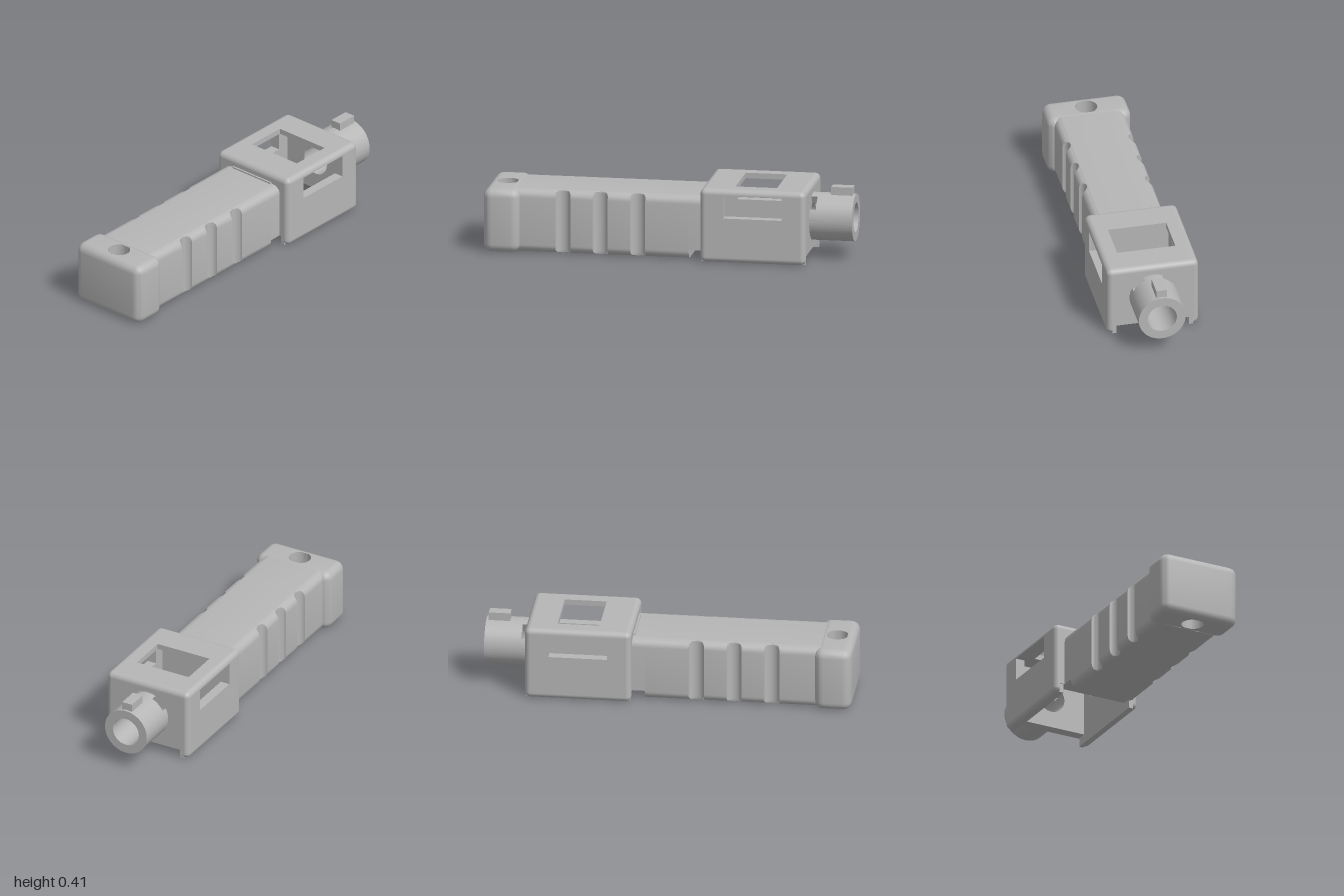
import * as THREE from 'three';
import { toCreasedNormals } from 'three/addons/utils/BufferGeometryUtils.js';
import { RoundedBoxGeometry } from 'three/addons/geometries/RoundedBoxGeometry.js';

const grey = new THREE.MeshStandardMaterial({ color: 0xb6b6b6, side: THREE.DoubleSide });
grey.name = 'plain grey';

// Outline of a rounded rectangle centred on the origin
function roundedRect(hw, hh, r, n = 7) {
  const pts = [];
  [[1, 1], [-1, 1], [-1, -1], [1, -1]].forEach(([sx, sy], q) => {
    for (let i = 0; i <= n; i++) {
      const a = (q + i / n) * Math.PI / 2;
      pts.push([sx * (hw - r) + r * Math.cos(a), sy * (hh - r) + r * Math.sin(a)]);
    }
  });
  return pts;
}

// Skin joining rings of equal point count
function loft(rings, closed = false) {
  const n = rings[0].length, m = rings.length, index = [];
  for (let i = 0; i < (closed ? m : m - 1); i++) {
    for (let j = 0; j < n; j++) {
      const k = (j + 1) % n, t = (i + 1) % m;
      const a = i * n + j, b = i * n + k, c = t * n + k, d = t * n + j;
      index.push(a, b, c, a, c, d);
    }
  }
  const g = new THREE.BufferGeometry();
  g.setAttribute('position', new THREE.Float32BufferAttribute(rings.flat(2), 3));
  g.setIndex(index);
  return toCreasedNormals(g, 0.6);
}

function rectPath(path, x0, y0, x1, y1) {
  path.moveTo(x0, y0).lineTo(x1, y0).lineTo(x1, y1).lineTo(x0, y1).closePath();
  return path;
}

// Flat panel with optional holes
function panel(x0, y0, x1, y1, depth, ...holes) {
  const s = rectPath(new THREE.Shape(), x0, y0, x1, y1);
  s.holes.push(...holes);
  return new THREE.ExtrudeGeometry(s, { depth, bevelEnabled: false, curveSegments: 32 });
}

// Sector of a ring in the XY plane, extruded along z
function ringSector(a0, a1, ro, ri, depth) {
  const s = new THREE.Shape();
  s.absarc(0, 0, ro, a0, a1, false);
  s.absarc(0, 0, ri, a1, a0, true);
  s.closePath();
  return toCreasedNormals(
    new THREE.ExtrudeGeometry(s, { depth, bevelEnabled: false, curveSegments: 48 }), 0.6);
}

export function createModel() {
  const model = new THREE.Group();
  model.name = 'handheldHolder';
  const add = (name, geo, x = 0, y = 0, z = 0, parent = model) => {
    const mesh = new THREE.Mesh(geo, grey);
    mesh.name = name;
    mesh.position.set(x, y, z);
    parent.add(mesh);
    return mesh;
  };

  // Handle: rounded bar with three vertical finger grooves and a slot notch at the head
  const gripH = 0.348, grooves = [0.158, 0.363, 0.567], half = 0.041;
  const stations = [[-0.2, 0, 0.05], [-0.12, 0, 0.05], [-0.12, 0, 0]];
  for (const c of grooves) {
    for (let i = 0; i <= 12; i++) {
      const t = -Math.cos(i / 12 * Math.PI);
      stations.push([c + half * t, 0.034 * Math.sqrt(Math.max(0, 1 - t * t)), 0]);
    }
  }
  stations.push([0.83, 0, 0]);
  const section = roundedRect(0.195, gripH / 2, 0.045);
  add('handle', loft(stations.map(([z, cut, floor]) => section.map(([x, y]) => [
    Math.sign(x) * Math.min(Math.abs(x), 0.195 - cut),
    Math.max(y + gripH / 2, floor), z]))));

  // End block with a vertical cord hole
  const levels = [], r = 0.045;
  for (let i = 0; i <= 6; i++) {
    const a = i / 6 * Math.PI / 2;
    levels.push([r * (1 - Math.cos(a)), r * (1 - Math.sin(a))]);
  }
  levels.push(...levels.map(([y, inset]) => [gripH - y, inset]).reverse());
  const holeRing = y => roundedRect(0.185, 0.055, 0.01).map((p, i, all) => {
    const a = (i + 0.5) / all.length * Math.PI * 2;
    return [0.06 * Math.cos(a), y, 0.06 * Math.sin(a)];
  });
  const blockRings = levels.map(([y, d]) =>
    roundedRect(0.23 - d, 0.1 - d, 0.05 - d).map(([x, z]) => [x, y, z]));
  add('endBlock', loft([holeRing(0), ...blockRings, holeRing(gripH)], true), 0, 0, 0.9);

  // Head: hollow rounded box, open below
  const head = new THREE.Group();
  head.name = 'head';
  model.add(head);
  const hx = 0.253, H = 0.405, zF = -0.19, zB = -0.766, e = 0.03, wall = 0.053;
  const zMid = (zF + zB) / 2, hz = (zF - zB) / 2, hy = H / 2;

  // Rounded edges only: flat faces and the edges across the open floor are dropped
  const box = new RoundedBoxGeometry(2 * hx, H, 2 * hz, 5, e);
  const pos = box.attributes.position, nor = box.attributes.normal, keepP = [], keepN = [];
  const eps = 1e-4;
  for (let i = 0; i < pos.count; i += 3) {
    const v = [0, 1, 2].map(k => new THREE.Vector3().fromBufferAttribute(pos, i + k));
    const flat = v.every(p => Math.abs(p.x) > hx - eps) || v.every(p => Math.abs(p.y) > hy - eps)
      || v.every(p => Math.abs(p.z) > hz - eps);
    const floor = v.every(p => p.y < -hy + e + eps && Math.abs(p.x) < hx - e + eps);
    if (flat || floor) continue;
    v.forEach((p, k) => {
      keepP.push(p.x, p.y, p.z);
      keepN.push(nor.getX(i + k), nor.getY(i + k), nor.getZ(i + k));
    });
  }
  const rim = new THREE.BufferGeometry();
  rim.setAttribute('position', new THREE.Float32BufferAttribute(keepP, 3));
  rim.setAttribute('normal', new THREE.Float32BufferAttribute(keepN, 3));
  add('headRoundedEdges', rim, 0, hy, zMid, head);

  // Roof with square window
  const roof = panel(-hx + e, -zF + e, hx - e, -zB - e, e,
    rectPath(new THREE.Path(), -0.16, 0.37, 0.16, 0.597));
  add('headRoof', roof.rotateX(-Math.PI / 2), 0, H - e, 0, head);

  // Side walls with long windows, and rails beside the floor opening
  for (const s of [-1, 1]) {
    const side = panel(-zF + e, e, -zB - e, H - e, wall,
      rectPath(new THREE.Path(), 0.317, 0.247, 0.636, 0.372));
    add(s > 0 ? 'leftWall' : 'rightWall', side.rotateY(Math.PI / 2),
      s > 0 ? hx - wall : -hx, 0, 0, head);
    add('floorRail', new THREE.BoxGeometry(0.023, 0.05, 2 * hz - 0.01),
      s * 0.2115, 0.025, zMid, head);
  }

  // Front and back walls stop above the floor slot
  const tubeY = 0.222, ro = 0.129, ri = 0.08;
  add('frontWall', panel(-hx + e, 0.05, hx - e, H - e, 0.06), 0, 0, zF - 0.06, head);
  const bore = new THREE.Path();
  bore.absarc(0, tubeY, ri, 0, Math.PI * 2, true);
  add('backWall', panel(-hx + e, 0.05, hx - e, H - e, 0.06, bore), 0, 0, zB, head);

  // Small raised strip where the handle meets the head
  add('jointStrip', new THREE.BoxGeometry(0.27, 0.02, 0.02), 0, 0.346, -0.19);

  // Tube at the back, with two slots at its neck
  const tube = new THREE.Group();
  tube.name = 'tube';
  tube.position.y = tubeY;
  model.add(tube);
  const deg = Math.PI / 180;
  for (const a of [0, 180]) {
    add('tubeBarrel', ringSector(a * deg, (a + 180) * deg, ro, ri, 0.2), 0, 0, -1, tube);
  }
  add('tubeNeckTop', ringSector(67 * deg, 113 * deg, ro, ri, 0.04), 0, 0, -0.8, tube);
  add('tubeNeckBottom', ringSector(152 * deg, 388 * deg, ro, ri, 0.04), 0, 0, -0.8, tube);
  add('tubeKey', new THREE.BoxGeometry(0.06, 0.07, 0.117), 0, 0.135, -0.928, tube);

  return model;
}
